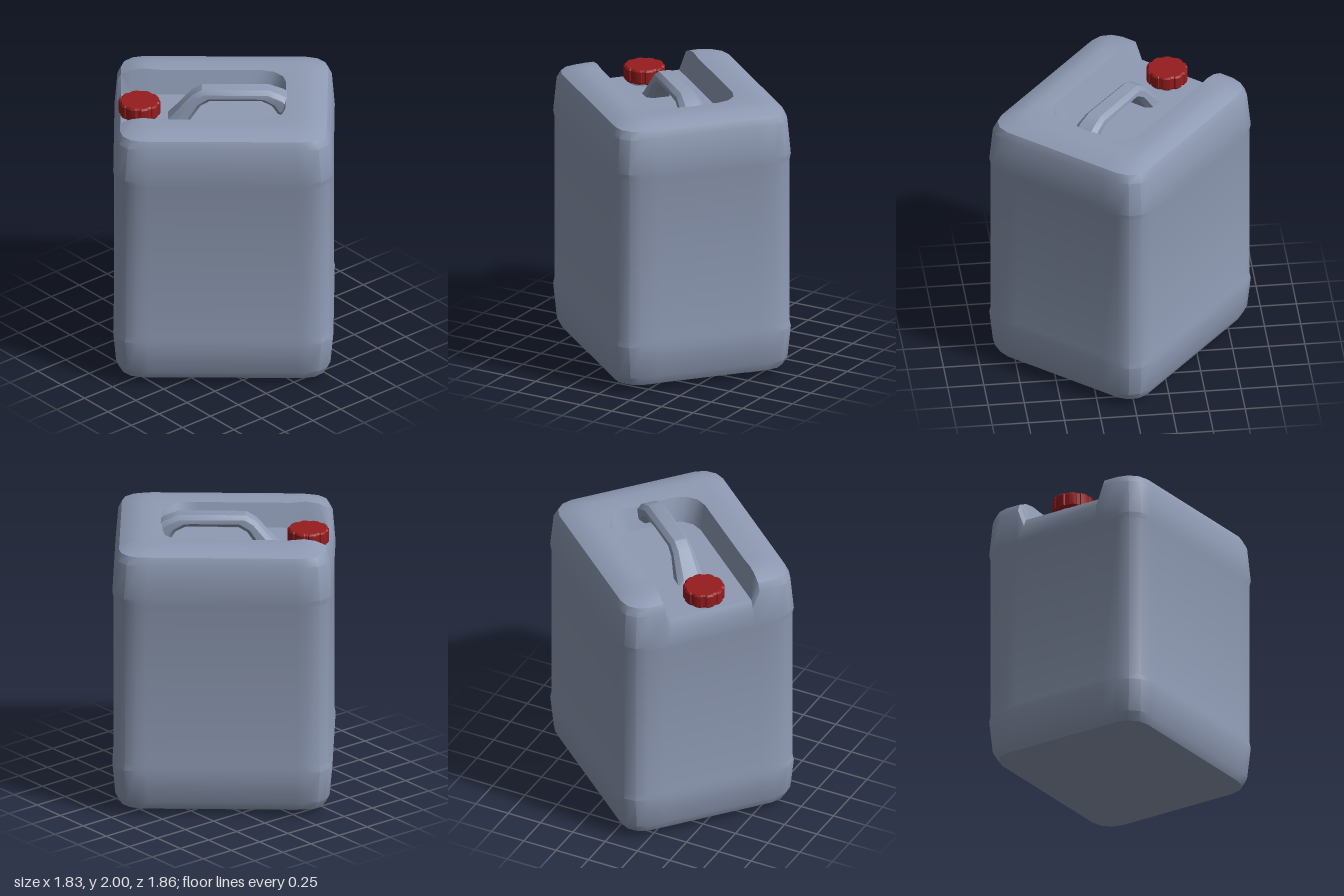
import * as THREE from 'three';
import { toCreasedNormals } from 'three/addons/utils/BufferGeometryUtils.js';

const HALF_W = 0.652, HALF_D = 0.757;  // body half width and half depth
const FLOOR = 1.775, LIP = 1.72;       // recess floor and its lowered front lip
const UNDER = 0.025;                   // underside channel height
const OUT = 0.35, IN = 0.3;            // channel edge at the rim and at its floor
const END = 0.455;                     // depth at which the channel ends close

// One horizontal ring: rounded rectangle with extra points for the channel edges
function ring({ y, d = 0, w = HALF_W - d, front = HALF_D - d, back = HALF_D - d }) {
  const r = Math.max(0.165 - 0.3 * d, 0.04);
  const low = y < 0.2;
  const rf = Math.max(0, Math.min(r, w - OUT));
  const rb = low ? rf : r;
  const floor = front > HALF_D - 0.03 ? LIP : FLOOR;
  const pts = [];
  const edge = (sign, z, rad, open) => {
    for (const t of [-OUT, -IN, IN, OUT]) {
      const x = sign * Math.sign(t) * Math.min(Math.abs(t), w - rad);
      const inChannel = open && Math.abs(t) === IN;
      pts.push([x, inChannel ? Math.max(UNDER, Math.min(floor, y)) : y, z]);
    }
  };
  const corner = (k, sx, sz, rad, z) => {
    for (let s = 0; s <= 3; s++) {
      const a = (k + s / 3) * Math.PI / 2;
      pts.push([sx * (w - rad) + rad * Math.sin(a), y, sz * (z - rad) + rad * Math.cos(a)]);
    }
  };
  // points beside the corners keep the side walls flat
  const zf = front - rf - 0.07, zb = 0.07 + rb - back;
  edge(1, front, rf, true);
  corner(0, 1, 1, rf, front);
  pts.push([w, y, zf], [w, y, zb]);
  corner(1, 1, -1, rb, back);
  edge(-1, -back, rb, low);
  corner(2, -1, -1, rb, back);
  pts.push([-w, y, zb], [-w, y, zf]);
  corner(3, -1, 1, rf, front);
  return pts;
}

// Skin a stack of rings and close both ends with fans
function loft(rings) {
  const n = rings[0].length, last = rings.length - 1, pos = rings.flat(2), index = [];
  pos.push(0, rings[0][0][1], 0, 0, rings[last][0][1], 0);
  const bottom = rings.length * n, top = bottom + 1;
  for (let j = 0; j < n; j++) {
    const k = (j + 1) % n;
    for (let i = 0; i < last; i++) {
      const a = i * n + j, b = i * n + k;
      index.push(a, b, b + n, a, b + n, a + n);
    }
    index.push(k, j, bottom, last * n + j, last * n + k, top);
  }
  const geo = new THREE.BufferGeometry();
  geo.setAttribute('position', new THREE.Float32BufferAttribute(pos, 3));
  geo.setIndex(index);
  return toCreasedNormals(geo, 0.55);
}

function bodyGeometry() {
  return loft([
    // underside channel
    { y: UNDER, w: IN, front: END, back: END },
    { y: 0, w: OUT, front: END, back: END },
    // outer wall with its raised bands
    { y: 0.005, d: 0.2 }, { y: 0.02, d: 0.12 }, { y: 0.05, d: 0.05 }, { y: 0.11, d: 0.02 },
    { y: 0.34, d: 0 }, { y: 0.38, d: 0.007 },
    { y: 1.565, d: 0.007 }, { y: 1.605, d: 0 },
    { y: 1.85, d: 0.02 }, { y: 1.905, d: 0.045 }, { y: 1.938, d: 0.12 }, { y: 1.95, d: 0.2 },
    // top recess, open to the front
    { y: 1.94, w: OUT, front: END, back: 0.425 },
    { y: FLOOR, w: IN, front: END, back: 0.38 },
  ].map(ring));
}

// Carrying handle: bevelled side profile, flared at both ends
function handleGeometry() {
  const profile = [
    [-0.41, 1.75], [-0.35, 1.81], [-0.22, 1.96], [-0.15, 2.0], [0.31, 2.0], [0.41, 1.96],
    [0.46, 1.92], [0.46, 1.82], [0.37, 1.82], [0.33, 1.88], [0.26, 1.915], [-0.1, 1.915],
    [-0.16, 1.88], [-0.25, 1.75],
  ].map(p => new THREE.Vector2(...p));
  const bevel = 0.028, width = 0.14;
  const geo = new THREE.ExtrudeGeometry(new THREE.Shape(profile), {
    depth: width - 2 * bevel, bevelEnabled: true, bevelSegments: 1,
    bevelSize: bevel, bevelThickness: bevel, bevelOffset: -bevel,
  });
  geo.translate(0, 0, bevel - width / 2);
  geo.rotateY(Math.PI / 2);
  const p = geo.attributes.position;
  for (let i = 0; i < p.count; i++) {
    const z = p.getZ(i);
    const flare = z > 0.1 ? 2 * Math.max(0, 1.96 - p.getY(i)) : 1.6 * Math.max(0, -z - 0.26);
    p.setX(i, p.getX(i) * (1 + flare));
  }
  return toCreasedNormals(geo, 0.5);
}

// Screw cap: ten grip lobes with a bevelled top and bottom
function capGeometry() {
  const lobes = 10, pts = [];
  for (let i = 0; i < lobes; i++) {
    for (const [t, r] of [[0.1, 0.142], [0.4, 0.144], [0.7, 0.142], [0.78, 0.134], [1.02, 0.134]]) {
      const a = (i + t) / lobes * Math.PI * 2;
      pts.push(new THREE.Vector2(r * Math.cos(a), r * Math.sin(a)));
    }
  }
  const geo = new THREE.ExtrudeGeometry(new THREE.Shape(pts), {
    depth: 0.08, bevelEnabled: true, bevelSegments: 1,
    bevelSize: 0.01, bevelThickness: 0.012, bevelOffset: -0.01,
  });
  geo.rotateX(-Math.PI / 2);
  return toCreasedNormals(geo, 0.4);
}

export function createModel() {
  const plastic = new THREE.MeshStandardMaterial({ color: 0x8f9bb4 });
  plastic.name = 'blue grey plastic';
  const red = new THREE.MeshStandardMaterial({ color: 0x961c1e });
  red.name = 'red cap';

  const model = new THREE.Group();
  model.name = 'canister';
  const can = new THREE.Group();
  can.name = 'turnedCanister';
  can.rotation.y = -0.707;
  model.add(can);

  const add = (name, geo, mat, x = 0, y = 0, z = 0) => {
    const mesh = new THREE.Mesh(geo, mat);
    mesh.name = name;
    mesh.position.set(x, y, z);
    can.add(mesh);
  };
  add('body', bodyGeometry(), plastic);
  add('handle', handleGeometry(), plastic);
  add('neck', new THREE.CylinderGeometry(0.1, 0.115, 0.05, 16), plastic, 0, 1.79, 0.58);
  add('cap', capGeometry(), red, 0, 1.805, 0.58);
  return model;
}
